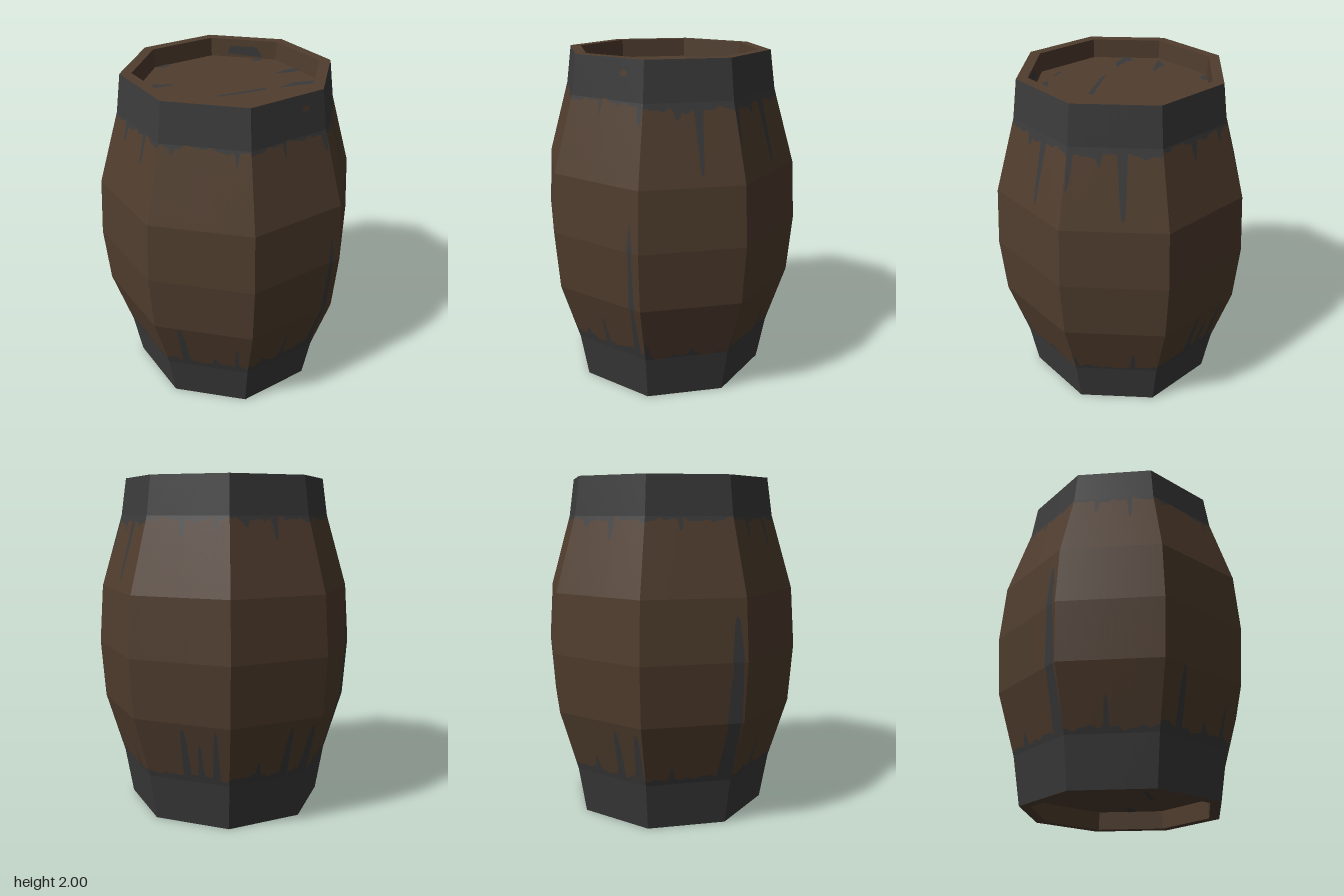
import * as THREE from 'three';

const SIDES = 8;
const COLUMNS = 60;
// Outer profile as [radius, height]
const PROFILE = [[0.6, 0], [0.648, 0.28], [0.76, 0.65], [0.785, 1], [0.76, 1.35], [0.632, 1.78], [0.6, 2]];

// Painted bands per side: edge heights, then drips as [across, tip height, half width]
const SIDE_PAINT = [
  { hi: 1.77, lo: 0.33, down: [[0.43, 1.69, 0.02], [0.96, 1.67, 0.04]], up: [[0.48, 0.52, 0.025], [0.9, 1.17, 0.035], [0.2, 0.38, 0.04]] },
  { hi: 1.74, lo: 0.29, down: [[0.6, 1.4, 0.04], [0.37, 1.69, 0.04]], up: [[0.02, 0.4, 0.05], [0.55, 0.34, 0.04]] },
  { hi: 1.74, lo: 0.3, down: [[0.03, 1.55, 0.03], [0.58, 1.4, 0.05], [0.34, 1.68, 0.03]], up: [[0.02, 0.4, 0.03], [0.7, 0.44, 0.03]] },
  { hi: 1.76, lo: 0.32, down: [[0.45, 1.66, 0.04], [0.85, 1.7, 0.03]], up: [[0.5, 0.62, 0.05], [0.67, 0.53, 0.035], [0.85, 0.62, 0.04]] },
  { hi: 1.76, lo: 0.32, down: [[0.55, 1.65, 0.04], [0.2, 1.72, 0.04]], up: [[0.68, 0.6, 0.05], [0.93, 0.6, 0.05], [0.35, 0.4, 0.03]] },
  { hi: 1.76, lo: 0.31, down: [[0.4, 1.7, 0.03]], up: [[0.91, 1.25, 0.08], [0.3, 0.38, 0.04]] },
  { hi: 1.76, lo: 0.31, down: [[0.3, 1.66, 0.03], [0.7, 1.6, 0.03]], up: [[0.45, 0.48, 0.03]] },
  { hi: 1.77, lo: 0.33, down: [[0.85, 1.68, 0.02], [0.15, 1.73, 0.03]], up: [[0.25, 0.65, 0.05], [0.86, 0.52, 0.025], [0.6, 0.39, 0.03]] },
];

// Grey scuffs on the lid as [x, z] outlines
const SCUFFS = [
  [[-0.5, -0.01], [-0.41, -0.09], [-0.38, -0.07], [-0.29, -0.08], [-0.32, -0.05], [-0.42, -0.03]],
  [[-0.48, 0.22], [-0.42, 0.12], [-0.38, 0.15], [-0.26, 0.16], [-0.32, 0.2], [-0.4, 0.2]],
  [[-0.1, 0.15], [0.04, 0.12], [0.2, 0.08], [0.2, 0.11], [0.06, 0.14], [-0.08, 0.165]],
  [[0.26, 0.1], [0.38, 0.03], [0.51, 0.02], [0.48, 0.07], [0.38, 0.08]],
  [[0.31, -0.13], [0.38, -0.18], [0.47, -0.2], [0.47, -0.15], [0.4, -0.13]],
  [[0.12, 0.41], [0.23, 0.35], [0.29, 0.34], [0.29, 0.39], [0.2, 0.43]],
  [[-0.37, -0.37], [-0.29, -0.41], [-0.28, -0.38], [-0.32, -0.35]],
  [[0.21, -0.39], [0.26, -0.42], [0.3, -0.38], [0.26, -0.365]],
  [[-0.03, 0.41], [0.05, 0.42], [0.03, 0.43], [-0.03, 0.435]],
  [[0.31, 0.3], [0.4, 0.28], [0.38, 0.32]],
];

const clamp = THREE.MathUtils.clamp;

function radiusAt(y) {
  for (let i = 1; i < PROFILE.length; i++) {
    const [r0, y0] = PROFILE[i - 1], [r1, y1] = PROFILE[i];
    if (y <= y1) return r0 + (r1 - r0) * (y - y0) / (y1 - y0);
  }
  return PROFILE[PROFILE.length - 1][0];
}

// Point on flat side k, u running from one corner to the next
function sidePoint(k, u, y, radius = radiusAt(y)) {
  const a = k * Math.PI * 2 / SIDES, b = (k + 1) * Math.PI * 2 / SIDES;
  return [
    radius * ((1 - u) * Math.sin(a) + u * Math.sin(b)), y,
    radius * ((1 - u) * Math.cos(a) + u * Math.cos(b)),
  ];
}

function ragged(x, seed) {
  return 0.008 * Math.sin(x * 9 + seed) + 0.007 * Math.sin(x * 23 + seed * 2.3) + 0.005 * Math.sin(x * 47 + seed);
}

// Height of a paint edge with its drips
function paintEdge(k, u, base, drips, seed) {
  let y = base + ragged(k + u, seed);
  for (const [centre, tip, width] of drips) {
    const d = Math.abs(u - centre) / width;
    if (d < 1) y += (tip - y) * (1 - d ** 3);
  }
  return y;
}

function flatGeometry(positions) {
  const g = new THREE.BufferGeometry();
  g.setAttribute('position', new THREE.Float32BufferAttribute(positions, 3));
  g.computeVertexNormals();
  return g;
}

function addQuad(out, k, u0, u1, b0, b1, t0, t1) {
  const p = sidePoint(k, u0, b0), q = sidePoint(k, u1, b1);
  const r = sidePoint(k, u1, t1), s = sidePoint(k, u0, t0);
  if (t1 - b1 > 1e-6) out.push(...p, ...q, ...r);
  if (t0 - b0 > 1e-6) out.push(...p, ...r, ...s);
}

// Outer skin divided into lower paint, bare wood and upper paint
function buildSkin() {
  const lower = [], bare = [], upper = [];
  for (let k = 0; k < SIDES; k++) {
    const { hi, lo, down, up } = SIDE_PAINT[k];
    for (let i = 0; i < COLUMNS; i++) {
      const us = [i / COLUMNS, (i + 1) / COLUMNS];
      const low = us.map(u => paintEdge(k, u, lo, up, 1));
      const high = us.map(u => paintEdge(k, u, hi, down, 4));
      for (let j = 1; j < PROFILE.length; j++) {
        const a = PROFILE[j - 1][1], b = PROFILE[j][1];
        const [l0, l1] = low.map(y => clamp(y, a, b));
        const [h0, h1] = high.map(y => clamp(y, a, b));
        addQuad(lower, k, ...us, a, a, l0, l1);
        addQuad(bare, k, ...us, l0, l1, h0, h1);
        addQuad(upper, k, ...us, h0, h1, b, b);
      }
    }
  }
  return [lower, bare, upper].map(flatGeometry);
}

// Rim, recess wall and recessed lid in one faceted turn
function endGeometry(points) {
  const g = new THREE.LatheGeometry(points.map(p => new THREE.Vector2(...p)), SIDES).toNonIndexed();
  g.computeVertexNormals();
  return g;
}

export function createModel() {
  const barrel = new THREE.Group();
  barrel.name = 'barrel';
  const wood = new THREE.MeshStandardMaterial({ color: 0x503d2e });
  wood.name = 'brown wood';
  const paint = new THREE.MeshStandardMaterial({ color: 0x3a3a3a });
  paint.name = 'dark grey paint';

  const add = (name, geometry, material) => {
    const mesh = new THREE.Mesh(geometry, material);
    mesh.name = name;
    barrel.add(mesh);
    return mesh;
  };

  const [lower, bare, upper] = buildSkin();
  add('lowerPaintBand', lower, paint);
  add('staves', bare, wood);
  add('upperPaintBand', upper, paint);

  const LID = 1.89, BASE = 0.11;
  add('topRimAndLid', endGeometry([[0.6, 2], [0.535, 2], [0.53, LID], [0, LID]]), wood);
  add('bottomRimAndBase', endGeometry([[0, BASE], [0.53, BASE], [0.535, 0], [0.6, 0]]), wood);

  // Scuffs lie just above the lid, and some below the base
  SCUFFS.forEach((outline, i) => {
    const top = new THREE.ShapeGeometry(new THREE.Shape(outline.map(([x, z]) => new THREE.Vector2(x, -z))));
    add('lidScuff', top.rotateX(-Math.PI / 2), paint).position.y = LID + 0.003;
    if (i % 2) return;
    const under = new THREE.ShapeGeometry(new THREE.Shape(outline.map(([x, z]) => new THREE.Vector2(x, z))));
    add('baseScuff', under.rotateX(Math.PI / 2), paint).position.y = BASE - 0.003;
  });

  // Paint smears on the inside of the top rim
  for (const [k, u0, u1, y0, y1] of [[0, 0.45, 0.95, 1.93, 1.985], [3, 0.2, 0.75, 1.9, 1.96]]) {
    const p = sidePoint(k, u0, y0, 0.528), q = sidePoint(k, u1, y0 + 0.01, 0.528);
    const r = sidePoint(k, u1 - 0.05, y1, 0.528), s = sidePoint(k, u0 + 0.1, y1, 0.528);
    add('rimSmear', flatGeometry([...p, ...r, ...q, ...p, ...s, ...r]), paint);
  }

  // Small bare chip in the upper band
  const chip = [];
  const chipPoint = a => {
    const y = 1.925 + 0.017 * Math.sin(a);
    return sidePoint(0, 0.73 + 0.055 * Math.cos(a), y, radiusAt(y) + 0.003);
  };
  for (let i = 0; i < 6; i++) {
    chip.push(...sidePoint(0, 0.73, 1.925, radiusAt(1.925) + 0.003), ...chipPoint(i * Math.PI / 3), ...chipPoint((i + 1) * Math.PI / 3));
  }
  add('bareChip', flatGeometry(chip), wood);

  return barrel;
}
